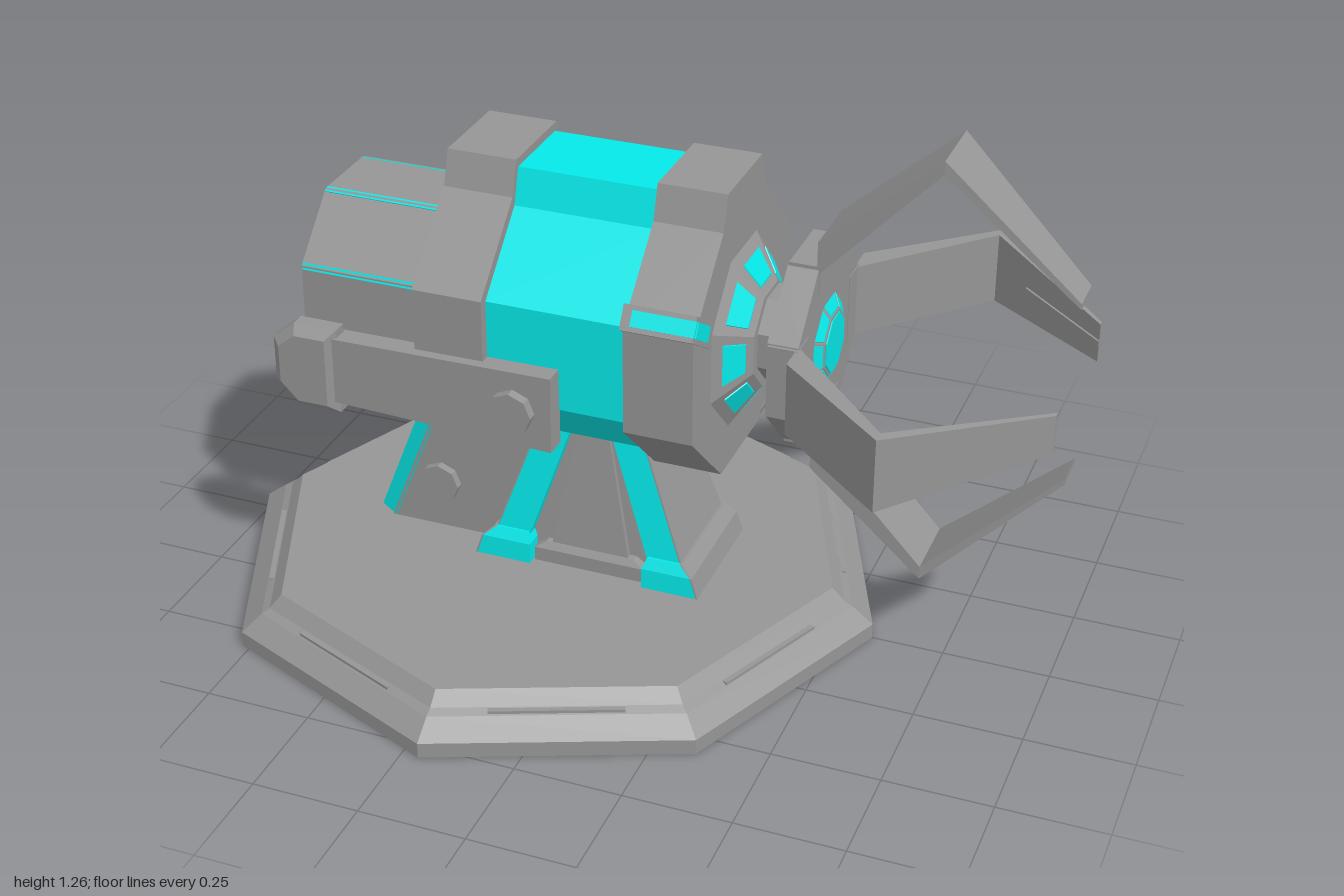
import * as THREE from 'three';

const grey = new THREE.MeshStandardMaterial({ color: 0x959595, flatShading: true });
const cyan = new THREE.MeshStandardMaterial({ color: 0x06e8e8, flatShading: true });
const AXIS_Y = 0.752, HEAD_Z = -0.013, EIGHTH = Math.PI / 4;

function add(parent, name, geometry, material = grey, x = 0, y = 0, z = 0) {
  const mesh = new THREE.Mesh(geometry, material);
  mesh.name = name;
  mesh.position.set(x, y, z);
  parent.add(mesh);
  return mesh;
}

function group(parent, name, x = 0, y = 0, z = 0) {
  const g = new THREE.Group();
  g.name = name;
  g.position.set(x, y, z);
  parent.add(g);
  return g;
}

// Solid through four-cornered cross-sections
function loft(rings) {
  const out = [];
  const quad = (a, b, c, d) => [a, b, c, a, c, d].forEach((p) => out.push(...p));
  for (let s = 0; s < rings.length - 1; s++)
    for (let i = 0; i < 4; i++) {
      const j = (i + 1) % 4;
      quad(rings[s][i], rings[s][j], rings[s + 1][j], rings[s + 1][i]);
    }
  quad(...[...rings[0]].reverse());
  quad(...rings[rings.length - 1]);
  const g = new THREE.BufferGeometry();
  g.setAttribute('position', new THREE.Float32BufferAttribute(out, 3));
  g.computeVertexNormals();
  return g;
}

// Upright solid, levels are [y, x0, x1, halfDepth, halfDepth at x0]
const upright = (...levels) => loft(levels.map(([y, x0, x1, h, h0 = h]) =>
  [[x0, y, h0], [x1, y, h], [x1, y, -h], [x0, y, -h0]]));

// Solid running along x, stations are [x, low, high, halfWidth]
const along = (...stations) => loft(stations.map(([x, lo, hi, h]) =>
  [[x, lo, h], [x, lo, -h], [x, hi, -h], [x, hi, h]]));

// Octagonal drum along x, radii measured to the flats
function drum(x0, x1, r0, r1 = r0) {
  const k = 1 / Math.cos(EIGHTH / 2);
  return new THREE.CylinderGeometry(r1 * k, r0 * k, x1 - x0, 8, 1, false, EIGHTH / 2)
    .rotateZ(-Math.PI / 2).translate((x0 + x1) / 2, 0, 0);
}

const polygon = (pts) => new THREE.Shape(pts.map(([x, y]) => new THREE.Vector2(x, y)));

const octagon = (r) => Array.from({ length: 8 }, (_, i) => {
  const a = EIGHTH * (i + 0.5), k = r / Math.cos(EIGHTH / 2);
  return [Math.cos(a) * k, Math.sin(a) * k];
});

// Shape extruded along x
const extrudeX = (shape, x0, x1) =>
  new THREE.ExtrudeGeometry(shape, { depth: x1 - x0, bevelEnabled: false })
    .rotateY(Math.PI / 2).translate(x0, 0, 0);

// Slightly wide octagon with a raised ridge on top
function bodySection(r, top) {
  const h = r * Math.tan(EIGHTH / 2), w = r * 1.035;
  return polygon([[h, -r], [w, -h], [w, h], [h + 0.01, r - 0.01], [h - 0.015, top],
    [0.015 - h, top], [-h - 0.01, r - 0.01], [-w, h], [-w, -h], [-h, -r]]);
}

function buildBase(root) {
  const base = group(root, 'base', -0.21);
  const profile = [[0, 0], [0.79, 0], [0.79, 0.037], [0.74, 0.075], [0.72, 0.085], [0.69, 0.115], [0, 0.115]];
  add(base, 'basePlate', new THREE.LatheGeometry(profile.map(([x, y]) => new THREE.Vector2(x, y)), 8));
  for (let i = 0; i < 8; i++) {
    const side = group(base, 'baseTrim');
    side.rotation.y = EIGHTH * (i + 0.5);
    add(side, 'trimStrip', new THREE.BoxGeometry(0.3, 0.008, 0.012), grey, 0, 0.08, 0.674);
  }
}

function buildStand(root) {
  const pylon = group(root, 'pylon', -0.075);
  add(pylon, 'pylonPanel', upright([0.115, -0.185, 0.185, 0.115], [0.49, -0.06, 0.06, 0.09]));
  add(pylon, 'pylonRib', upright([0.115, -0.135, 0.135, 0.14], [0.15, -0.135, 0.135, 0.14], [0.165, -0.11, 0.11, 0.13]));
  add(pylon, 'pylonInset', upright([0.165, -0.095, 0.095, 0.127], [0.49, -0.035, 0.035, 0.1]));
  for (const turn of [0, Math.PI]) {
    const leg = group(pylon, 'pylonLeg');
    leg.rotation.y = turn;
    add(leg, 'legStrut', upright([0.18, 0.148, 0.23, 0.14], [0.49, 0.045, 0.121, 0.11]), cyan);
    add(leg, 'legFoot', upright([0.115, 0.14, 0.275, 0.16], [0.165, 0.14, 0.259, 0.158], [0.19, 0.15, 0.23, 0.145]), cyan);
    add(leg, 'legCover', upright([0.18, 0.23, 0.234, 0.14], [0.49, 0.121, 0.125, 0.11]));
    add(leg, 'footCover', upright([0.115, 0.275, 0.279, 0.16], [0.165, 0.259, 0.263, 0.158], [0.19, 0.23, 0.236, 0.145]));
  }

  // Rear brace with a tapered bright back edge
  const brace = group(root, 'rearBrace');
  add(brace, 'bracePanel', upright([0.115, -0.61, -0.23, 0.08], [0.41, -0.495, -0.25, 0.08], [0.47, -0.49, -0.25, 0.08]));
  add(brace, 'braceEdge', upright([0.115, -0.655, -0.6, 0.082, 0.045], [0.41, -0.54, -0.485, 0.082, 0.045], [0.52, -0.54, -0.485, 0.082, 0.045]), cyan);
  add(brace, 'braceTop', upright([0.465, -0.49, -0.4, 0.082], [0.53, -0.49, -0.4, 0.082]), cyan);
  add(brace, 'braceBolt', new THREE.CylinderGeometry(0.05, 0.05, 0.2, 8).rotateX(Math.PI / 2), grey, -0.475, 0.24, 0);
}

function buildBody(root) {
  const body = group(root, 'body', 0, AXIS_Y, 0);
  const ring = bodySection(0.308, 0.378);
  add(body, 'rearRing', extrudeX(ring, -0.41, -0.245));
  add(body, 'frontRing', extrudeX(ring, 0.085, 0.245));
  add(body, 'middleBody', extrudeX(bodySection(0.285, 0.358), -0.245, 0.085), cyan);

  // Rear barrel with bright corner strips and end ring
  const barrel = group(body, 'rearBarrel', 0, -0.01, 0);
  add(barrel, 'barrel', drum(-0.73, -0.41, 0.23));
  const endRing = polygon(octagon(0.2));
  endRing.holes.push(polygon(octagon(0.175)));
  add(barrel, 'barrelEndRing', extrudeX(endRing, -0.734, -0.72), cyan);
  for (let i = 0; i < 8; i++) {
    const strip = group(barrel, 'barrelStrip');
    strip.rotation.x = EIGHTH * (i + 0.5);
    add(strip, 'cornerStrip', new THREE.BoxGeometry(0.32, 0.015, 0.016), cyan, -0.569, 0.24, 0);
  }

  // Tapered nose with windows
  add(body, 'nose', drum(0.245, 0.31, 0.205, 0.11));
  for (let i = 0; i < 8; i++) {
    const pane = group(body, 'noseWindow');
    pane.rotation.x = EIGHTH * i;
    add(pane, 'windowPane', along([0.263, 0.15, 0.183, 0.05], [0.298, 0.1, 0.132, 0.035]), cyan);
  }

  // Angled sensor on the front ring
  const sensor = group(body, 'sensor', 0.168, 0.126, 0.272);
  sensor.rotation.x = -0.56;
  add(sensor, 'sensorCase', new THREE.BoxGeometry(0.165, 0.058, 0.13));
  add(sensor, 'sensorFace', new THREE.BoxGeometry(0.008, 0.036, 0.09), cyan, 0.081, 0, 0.008);
  add(sensor, 'sensorEdge', new THREE.BoxGeometry(0.145, 0.036, 0.008), cyan, 0.012, 0, 0.063);
}

function buildSideArms(root) {
  const slab = (pts, depth, bevel) => new THREE.ExtrudeGeometry(polygon(pts), {
    depth, bevelEnabled: bevel > 0, bevelSize: bevel, bevelOffset: -bevel, bevelThickness: bevel, bevelSegments: 1,
  }).translate(0, 0, -depth / 2);
  for (const side of [1, -1]) {
    const arm = group(root, side > 0 ? 'frontSideArm' : 'backSideArm', 0, 0, side * 0.317);
    add(arm, 'armPlate', slab([[-0.62, 0.57], [-0.075, 0.55], [-0.075, 0.735], [-0.62, 0.73]], 0.052, 0));
    add(arm, 'armEnd', slab([[-0.7, 0.54], [-0.595, 0.54], [-0.595, 0.75], [-0.7, 0.75], [-0.755, 0.705], [-0.755, 0.595]], 0.034, 0.022));
    add(arm, 'armBolt', new THREE.CylinderGeometry(0.052, 0.052, 0.1, 8).rotateX(Math.PI / 2), grey, -0.165, 0.64, 0);
  }
}

function buildHead(root) {
  const head = group(root, 'head', 0, AXIS_Y, HEAD_Z);
  add(head, 'neck', drum(0.3, 0.38, 0.1));
  add(head, 'headPlate', drum(0.37, 0.44, 0.215));

  // Faceted lens
  add(head, 'lensFrame', drum(0.435, 0.455, 0.11, 0.07));
  add(head, 'lensCentre', drum(0.44, 0.458, 0.064), cyan);
  for (let i = 0; i < 8; i++) {
    const pane = group(head, 'lensWindow');
    pane.rotation.x = EIGHTH * i;
    add(pane, 'lensPane', along([0.438, 0.08, 0.107, 0.038], [0.453, 0.055, 0.077, 0.026]), cyan);
  }

  // Four bent grabbing claws
  for (let i = 0; i < 4; i++) {
    const claw = group(head, 'claw');
    claw.rotation.x = i * Math.PI / 2;
    add(claw, 'clawMount', along([0.372, 0.15, 0.223, 0.086], [0.442, 0.15, 0.223, 0.086]));
    add(claw, 'clawArm', along([0.435, 0.2, 0.28, 0.085], [0.7, 0.482, 0.513, 0.085], [1, 0.206, 0.22, 0.046]));
    add(claw, 'clawRidge', along([0.79, 0.392, 0.41, 0.007], [0.999, 0.2, 0.218, 0.007]));
  }
}

export function createModel() {
  const root = new THREE.Group();
  root.name = 'clawTurret';
  buildBase(root);
  buildStand(root);
  buildBody(root);
  buildSideArms(root);
  buildHead(root);
  return root;
}
